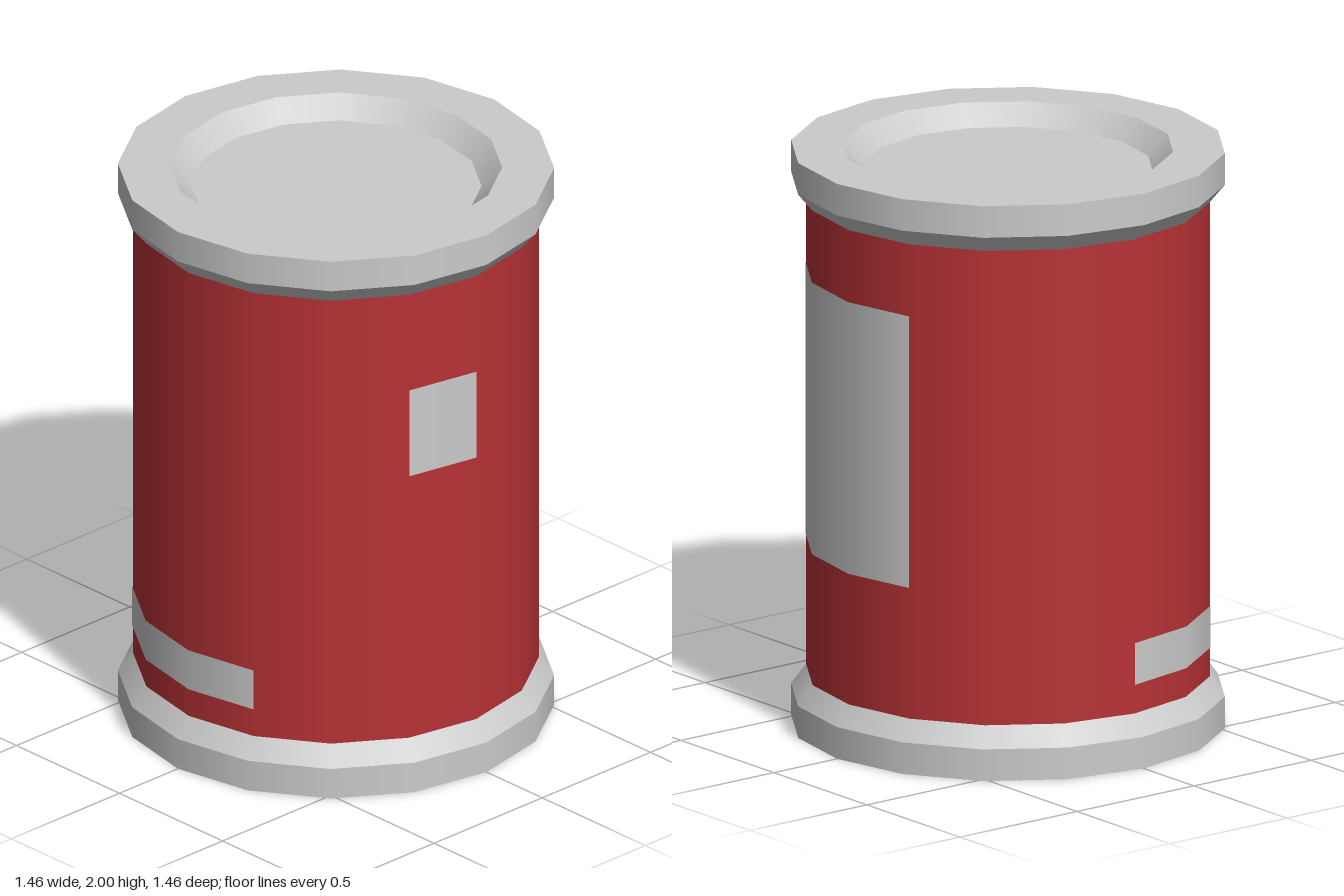
import * as THREE from 'three';
import { mergeGeometries } from 'three/addons/utils/BufferGeometryUtils.js';

const SIDES = 16;
const STEP = (Math.PI * 2) / SIDES;
const BODY_R = 0.68;

const grey = new THREE.MeshStandardMaterial({ color: 0xcccccc });
const red = new THREE.MeshStandardMaterial({ color: 0xb83236 });

// Turns a profile of [radius, y] points, smooth around and sharp between bands.
// Angles count in sides from +z towards +x.
function turned(name, profile, material, firstSide = 0, sides = SIDES) {
  const bands = [];
  for (let i = 0; i < profile.length - 1; i++) {
    const pts = [profile[i], profile[i + 1]].map(([r, y]) => new THREE.Vector2(r, y));
    bands.push(new THREE.LatheGeometry(pts, sides, firstSide * STEP, sides * STEP));
  }
  const mesh = new THREE.Mesh(mergeGeometries(bands), material);
  mesh.name = name;
  return mesh;
}

export function createModel() {
  const group = new THREE.Group();
  group.name = 'drum';

  // Painted wall
  group.add(turned('body', [[BODY_R, 0.18], [BODY_R, 1.83]], red));

  // Rims with recessed end plates
  group.add(turned('bottomRim', [
    [0, 0.08], [0.51, 0.08], [0.556, 0], [0.73, 0], [0.73, 0.11], [BODY_R, 0.18],
  ], grey));
  group.add(turned('topRim', [
    [BODY_R, 1.83], [0.73, 1.89], [0.73, 2], [0.556, 2], [0.487, 1.93], [0, 1.93],
  ], grey));

  // Labels lying on the wall: [name, bottom, top, first side, number of sides]
  const labels = [
    ['frontStrip', 0.28, 0.425, -4, 5],
    ['sideLabel', 1.155, 1.475, 3, 1],
    ['backLabel', 0.635, 1.58, 6, 3],
  ];
  const r = BODY_R + 0.002;
  for (const [name, y0, y1, first, count] of labels) {
    group.add(turned(name, [[r, y0], [r, y1]], grey, first, count));
  }

  return group;
}
